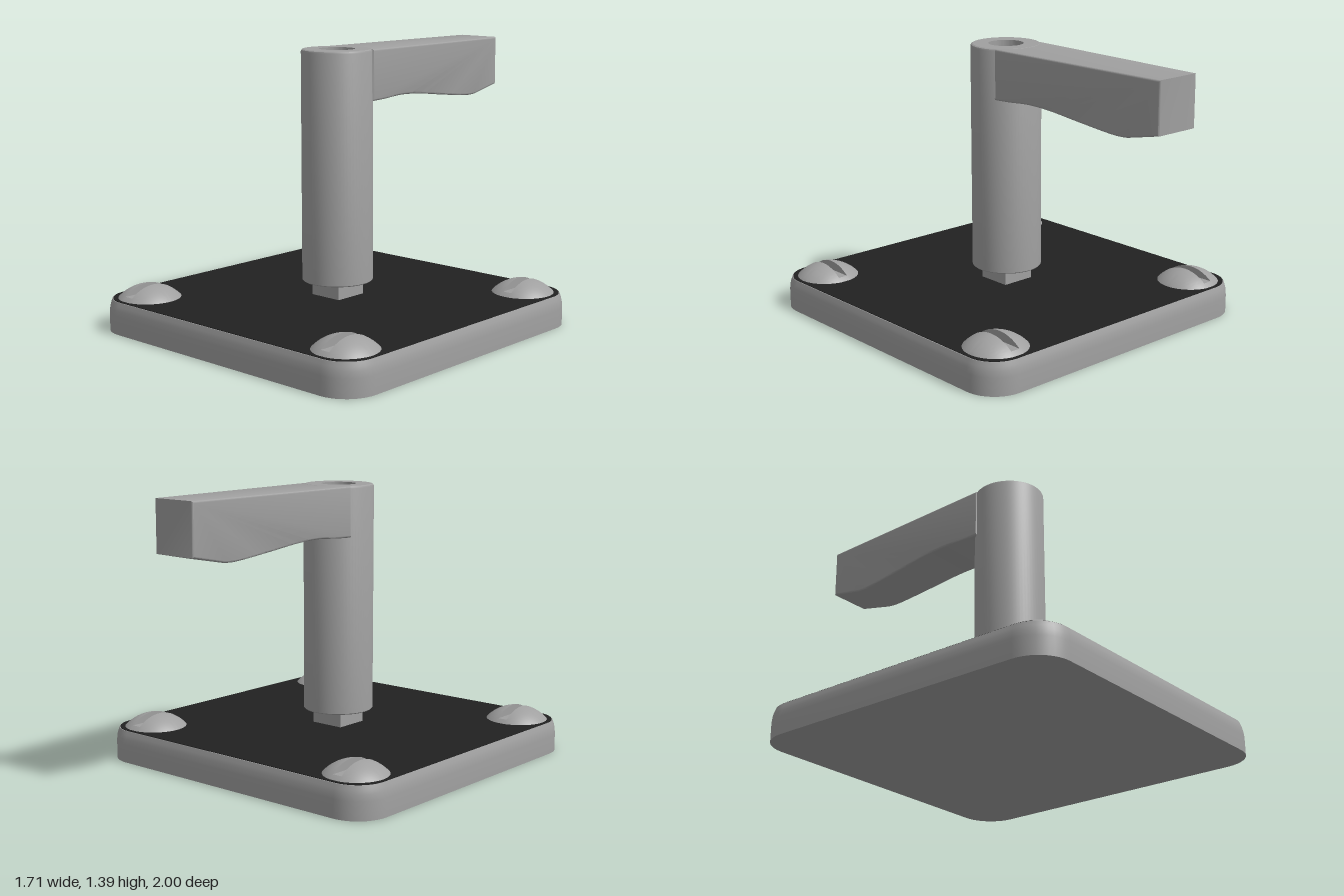
import * as THREE from 'three';
import { toCreasedNormals } from 'three/addons/utils/BufferGeometryUtils.js';

const CZ = 0.14; // plate and post centre in z

function indexed(points, index) {
  const g = new THREE.BufferGeometry();
  g.setAttribute('position', new THREE.Float32BufferAttribute(points, 3));
  g.setIndex(index);
  return toCreasedNormals(g, 0.5);
}

// One horizontal rounded-square loop
function roundedLoop(half, radius, y, out) {
  const steps = 10;
  for (let c = 0; c < 4; c++) {
    const mid = Math.PI / 4 + c * Math.PI / 2;
    const cx = Math.sign(Math.cos(mid)) * (half - radius);
    const cz = Math.sign(Math.sin(mid)) * (half - radius);
    for (let i = 0; i <= steps; i++) {
      const a = (c + i / steps) * Math.PI / 2;
      out.push(cx + radius * Math.cos(a), y, cz + radius * Math.sin(a));
    }
  }
}

// Closed stack of rounded squares: sections are [inset, y] from bottom to top
function roundedSlab(half, radius, sections) {
  const n = 44, pts = [], idx = [];
  sections.forEach(([inset, y]) => roundedLoop(half - inset, radius - inset, y, pts));
  for (let s = 0; s < sections.length - 1; s++) {
    for (let i = 0; i < n; i++) {
      const a = s * n + i, b = s * n + (i + 1) % n;
      idx.push(a, a + n, b, b, a + n, b + n);
    }
  }
  const top = (sections.length - 1) * n;
  for (let i = 1; i < n - 1; i++) {
    idx.push(0, i, i + 1, top, top + i + 1, top + i);
  }
  return indexed(pts, idx);
}

// Spherical cap cut by a flat-floored slot along z
function slottedDome(r, h, slotHalf, floor) {
  const R = (r * r + h * h) / (2 * h), rows = 40, side = [];
  for (let i = 0; i <= 14; i++) {
    side.push(slotHalf + (r - slotHalf) * Math.sin(i / 14 * Math.PI / 2));
  }
  const columns = [
    ...side.map((x) => [-x, h]).reverse(),
    [-slotHalf, floor], [slotHalf, floor],
    ...side.map((x) => [x, h]),
  ];
  const pts = [], idx = [];
  columns.forEach(([x, limit]) => {
    const chord = Math.sqrt(Math.max(0, r * r - x * x));
    for (let j = 0; j <= rows; j++) {
      const z = -chord * Math.cos(j / rows * Math.PI);
      const y = Math.sqrt(R * R - x * x - z * z) - (R - h);
      pts.push(x, Math.max(0, Math.min(y, limit)), z);
    }
  });
  const w = rows + 1;
  for (let c = 0; c < columns.length - 1; c++) {
    for (let j = 0; j < rows; j++) {
      const a = c * w + j, b = a + w;
      idx.push(a, a + 1, b, b, a + 1, b + 1);
    }
  }
  return indexed(pts, idx);
}

// Lever: side profile extruded across x, then narrowed toward the tip
function leverGeometry() {
  const s = new THREE.Shape();
  s.moveTo(-0.05, 1.14);
  s.splineThru([[0.05, 1.144], [0.18, 1.152], [0.32, 1.146], [0.5, 1.125],
    [0.66, 1.107], [0.75, 1.1], [0.81, 1.102]].map((p) => new THREE.Vector2(...p)));
  s.lineTo(1, 1.142);
  s.lineTo(1, 1.394);
  s.lineTo(-0.05, 1.394);
  s.closePath();
  const bevel = 0.01, half = 0.157;
  const g = new THREE.ExtrudeGeometry(s, {
    depth: 2 * (half - bevel), curveSegments: 28,
    bevelSize: bevel, bevelThickness: bevel, bevelOffset: -bevel, bevelSegments: 3,
  });
  g.translate(0, 0, -(half - bevel));
  g.rotateY(Math.PI / 2);
  const p = g.attributes.position;
  for (let i = 0; i < p.count; i++) {
    const t = (0.05 - p.getZ(i)) / 1.05;
    p.setX(i, p.getX(i) * (1 - 0.235 * t));
  }
  return toCreasedNormals(g, 0.6);
}

export function createModel() {
  const model = new THREE.Group();
  model.name = 'leverHandle';
  const metal = new THREE.MeshStandardMaterial({ color: 0xa0a0a0 });
  metal.name = 'grey metal';
  const black = new THREE.MeshStandardMaterial({ color: 0x212121 });
  black.name = 'black panel';
  const add = (name, geometry, material, x, y, z) => {
    const mesh = new THREE.Mesh(geometry, material);
    mesh.name = name;
    mesh.position.set(x, y, z);
    model.add(mesh);
  };

  // Base plate with softened upper rim, and its dark face
  add('basePlate', roundedSlab(0.855, 0.17,
    [[0, 0], [0, 0.09], [0.003, 0.12], [0.008, 0.14], [0.015, 0.16]]), metal, 0, 0, CZ);
  add('facePanel', roundedSlab(0.836, 0.152, [[0, 0], [0, 0.003]]), black, 0, 0.16, CZ);

  // Slotted screws in the corners
  const dome = slottedDome(0.158, 0.069, 0.025, 0.021);
  for (const x of [-0.662, 0.662]) {
    for (const z of [-0.665, 0.665]) add('screw', dome, metal, x, 0.161, CZ + z);
  }

  // Square spindle under the post
  add('spindle', new THREE.BoxGeometry(0.18, 0.1, 0.18), metal, 0, 0.2, CZ);

  // Round post with a blind hole in its top
  const profile = [[0, 0.24], [0.172, 0.24], [0.177, 0.245], [0.177, 1.383], [0.174, 1.391],
    [0.167, 1.395], [0.088, 1.395], [0.088, 1.1], [0, 1.1]]
    .map((p) => new THREE.Vector2(...p));
  add('post', toCreasedNormals(new THREE.LatheGeometry(profile, 64), 0.5), metal, 0, 0, CZ);

  add('lever', leverGeometry(), metal, 0, 0, 0);
  return model;
}
